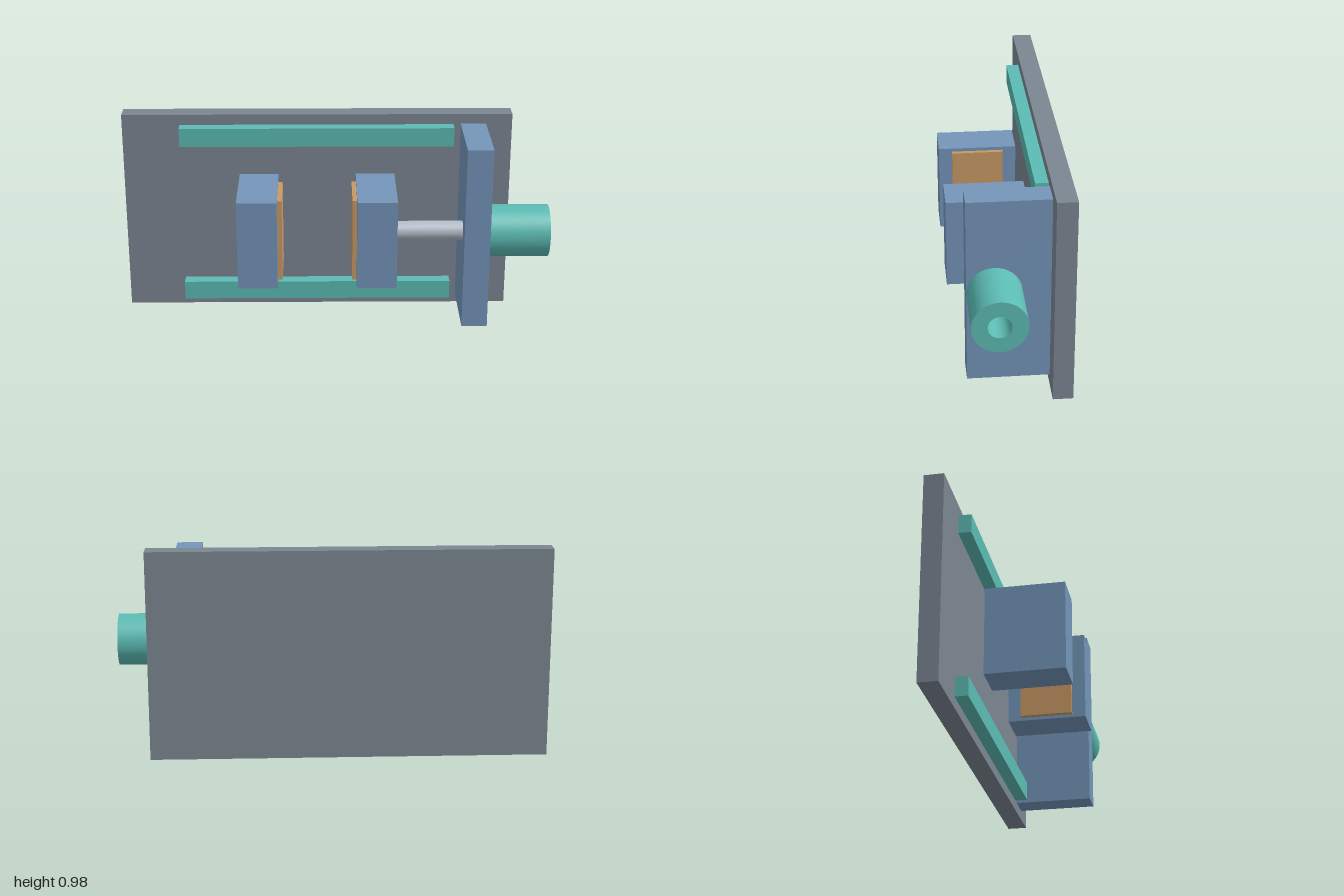
import * as THREE from 'three';

function material(name, color) {
  const m = new THREE.MeshStandardMaterial({ color });
  m.name = name;
  return m;
}

export function createModel() {
  const group = new THREE.Group();
  const grey = material('plate grey', 0x7c8692);
  const blue = material('jaw blue', 0x7495ba);
  const teal = material('rail teal', 0x5cbcb4);
  const steel = material('screw steel', 0xb4bec9);
  const tan = material('pad tan', 0xc99a64);

  const add = (name, geometry, mat) => {
    const mesh = new THREE.Mesh(geometry, mat);
    mesh.name = name;
    group.add(mesh);
    return mesh;
  };
  // Box given by its lower and upper limits on each axis
  const box = (name, mat, [x0, x1], [y0, y1], [z0, z1]) =>
    add(name, new THREE.BoxGeometry(x1 - x0, y1 - y0, z1 - z0), mat)
      .position.set((x0 + x1) / 2, (y0 + y1) / 2, (z0 + z1) / 2);

  // Base plate and the two guide rails
  box('basePlate', grey, [-1, 0.845], [0, 0.98], [-0.26, -0.169]);
  box('lowerRail', teal, [-0.727, 0.568], [0.05, 0.14], [-0.169, -0.11]);
  box('upperRail', teal, [-0.727, 0.568], [0.84, 0.93], [-0.169, -0.11]);

  // Jaws with gripping pads on the facing sides
  box('fixedJaw', blue, [-0.445, -0.261], [0.277, 0.703], [-0.11, 0.26]);
  box('movingJaw', blue, [0.105, 0.289], [0.277, 0.703], [-0.11, 0.26]);
  box('fixedPad', tan, [-0.261, -0.24], [0.293, 0.687], [-0.047, 0.197]);
  box('movingPad', tan, [0.084, 0.105], [0.293, 0.687], [-0.047, 0.197]);

  // End plate carrying the screw
  box('endPlate', blue, [0.602, 0.722], [0.048, 0.932], [-0.169, 0.2]);

  // Screw, running along x through the end plate
  const axisY = 0.49, axisZ = 0.078;
  const screw = add('screw', new THREE.CylinderGeometry(0.045, 0.045, 0.45, 48), steel);
  screw.rotation.z = -Math.PI / 2;
  screw.position.set(0.289 + 0.225, axisY, axisZ);

  // Hollow drive collar
  const ring = new THREE.Shape().absarc(0, 0, 0.122, 0, Math.PI * 2);
  ring.holes.push(new THREE.Path().absarc(0, 0, 0.052, 0, Math.PI * 2, true));
  const collar = add('driveCollar',
    new THREE.ExtrudeGeometry(ring, { depth: 0.278, bevelEnabled: false, curveSegments: 48 }), teal);
  // Smooth the round walls, keeping the flat ends sharp
  const { position: p, normal: n } = collar.geometry.attributes;
  for (let i = 0; i < p.count; i++) {
    if (Math.abs(n.getZ(i)) > 0.5) continue;
    const r = Math.hypot(p.getX(i), p.getY(i));
    const s = (r > 0.09 ? 1 : -1) / r;
    n.setXYZ(i, p.getX(i) * s, p.getY(i) * s, 0);
  }
  collar.rotation.y = Math.PI / 2;
  collar.position.set(0.722, axisY, axisZ);

  return group;
}
